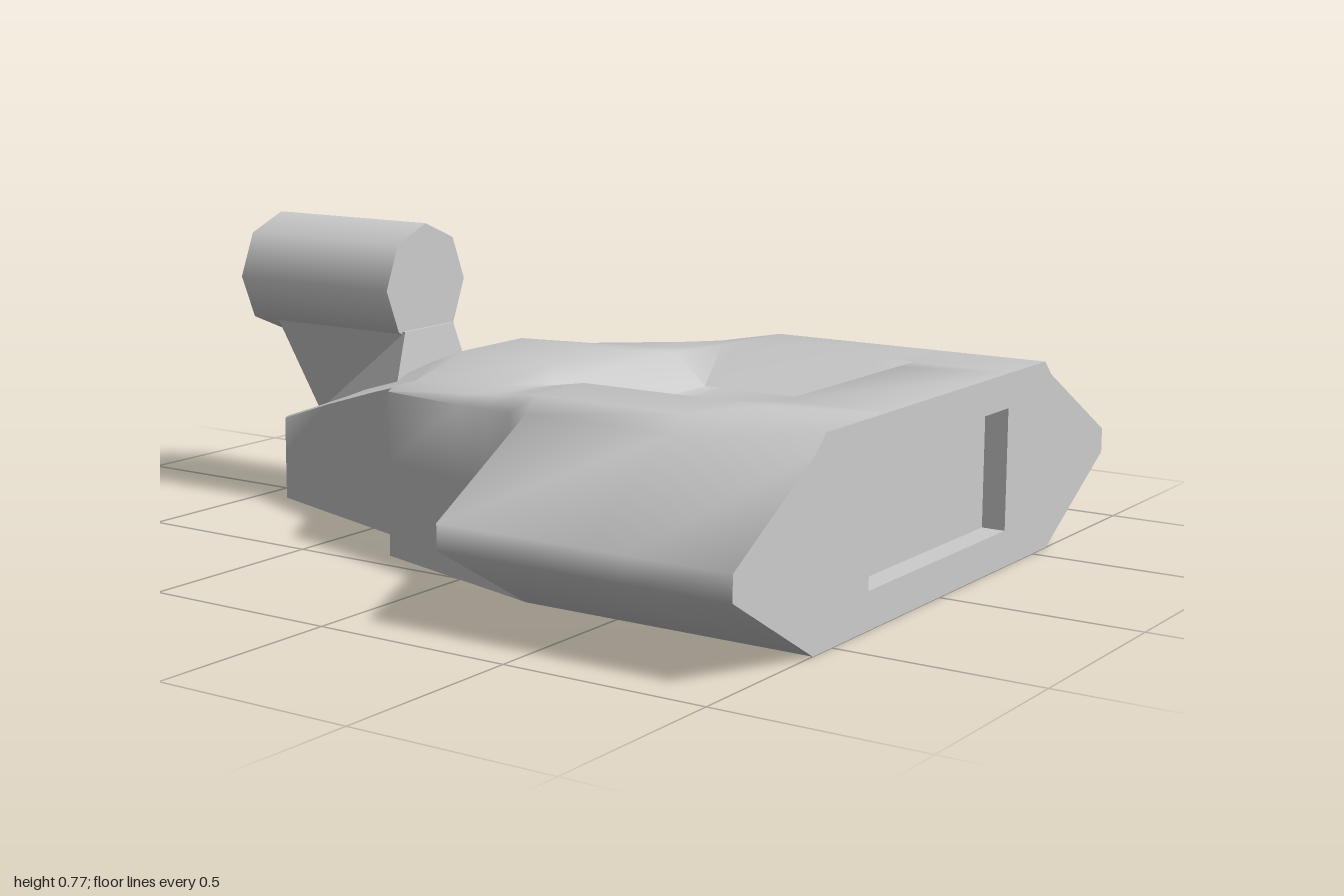
import * as THREE from 'three';
import { toCreasedNormals } from 'three/addons/utils/BufferGeometryUtils.js';

const material = new THREE.MeshStandardMaterial({ color: 0xcccccc, side: THREE.DoubleSide });

function add(group, name, geometry) {
  const mesh = new THREE.Mesh(geometry, material);
  mesh.name = name;
  group.add(mesh);
}

// Skins closed cross-sections (arrays of [z, y], counter-clockwise seen from +x) placed along x
function loft(sections) {
  const n = sections[0].points.length, positions = [], index = [];
  for (const { x, points } of sections) for (const [z, y] of points) positions.push(x, y, z);
  for (let i = 0; i < sections.length - 1; i++) {
    for (let j = 0; j < n; j++) {
      const k = (j + 1) % n;
      const a = i * n + j, b = i * n + k, c = b + n, d = a + n;
      index.push(a, b, d, b, c, d);
    }
  }
  const last = (sections.length - 1) * n;
  for (let j = 1; j < n - 1; j++) {
    index.push(0, j + 1, j);
    index.push(last, last + j, last + j + 1);
  }
  const geometry = new THREE.BufferGeometry();
  geometry.setAttribute('position', new THREE.Float32BufferAttribute(positions, 3));
  geometry.setIndex(index);
  return toCreasedNormals(geometry, 1.1);
}

const clamp = THREE.MathUtils.clamp;

export function createModel() {
  const group = new THREE.Group();

  // Hull stations: x, half width, side height, shoulder half width, top height,
  // half width and height of the raised or sunken middle, wing tip half width
  const stations = [
    [-0.92, 0.09, 0.22, 0.08, 0.225, 0.04, 0.225, 0.09],
    [-0.71, 0.16, 0.29, 0.14, 0.295, 0.08, 0.30, 0.16],
    [-0.48, 0.235, 0.36, 0.21, 0.365, 0.10, 0.39, 0.235],
    [-0.39, 0.265, 0.385, 0.24, 0.39, 0.11, 0.43, 0.265],
    [-0.28, 0.425, 0.41, 0.40, 0.42, 0.12, 0.47, 0.425],
    [0.00, 0.507, 0.42, 0.47, 0.44, 0.13, 0.465, 0.507],
    [0.10, 0.536, 0.425, 0.49, 0.45, 0.27, 0.45, 0.536],
    [0.19, 0.562, 0.43, 0.52, 0.465, 0.27, 0.37, 0.562],
    [0.25, 0.58, 0.437, 0.54, 0.475, 0.27, 0.37, 0.58],
    [0.25, 0.58, 0.437, 0.54, 0.475, 0.27, 0.37, 0.905],
    [0.64, 0.58, 0.437, 0.54, 0.475, 0.27, 0.37, 0.905],
    [0.74, 0.58, 0.437, 0.54, 0.475, 0.27, 0.475, 0.905],
    [1.00, 0.58, 0.437, 0.54, 0.475, 0.27, 0.475, 0.905],
  ];
  const sections = stations.map(([x, w, side, shoulder, top, inner, middle, tip]) => {
    const rim = Math.min(0.35, shoulder * 0.8);
    const half = [
      [inner, middle], [rim, top], [shoulder, top], [w, side],
      [tip, side * 0.57], [tip, side * 0.43], [w, 0],
    ];
    return { x, points: [...half, ...half.map(([z, y]) => [-z, y]).reverse()] };
  });

  // Sunken rectangular panel in the end face
  const panel = sections.at(-1).points.map(([z, y]) => [clamp(z, -0.34, 0.34), clamp(y, 0.09, 0.39)]);
  sections.push({ x: 1, points: panel }, { x: 0.94, points: panel });
  add(group, 'hull', loft(sections));

  // Pedestal, narrowing toward the nose and widening at the rear of its foot
  const profile = new THREE.Shape([
    [-0.82, 0.25], [-0.48, 0.36], [-0.49, 0.495], [-0.93, 0.495],
  ].map(p => new THREE.Vector2(...p)));
  const pedestal = new THREE.ExtrudeGeometry(profile, { depth: 0.2, bevelEnabled: false }).translate(0, 0, -0.1);
  const p = pedestal.attributes.position;
  for (let i = 0; i < p.count; i++) {
    if (p.getY(i) < 0.4) p.setZ(i, p.getZ(i) * (p.getX(i) > -0.6 ? 1.5 : 0.6));
  }
  pedestal.computeVertexNormals();
  add(group, 'pedestal', pedestal);

  // Eight-sided barrel lying along x
  const barrel = new THREE.CylinderGeometry(0.16, 0.16, 0.5, 8);
  barrel.rotateZ(Math.PI / 2).translate(-0.75, 0.607, 0);
  add(group, 'barrel', barrel);

  return group;
}
